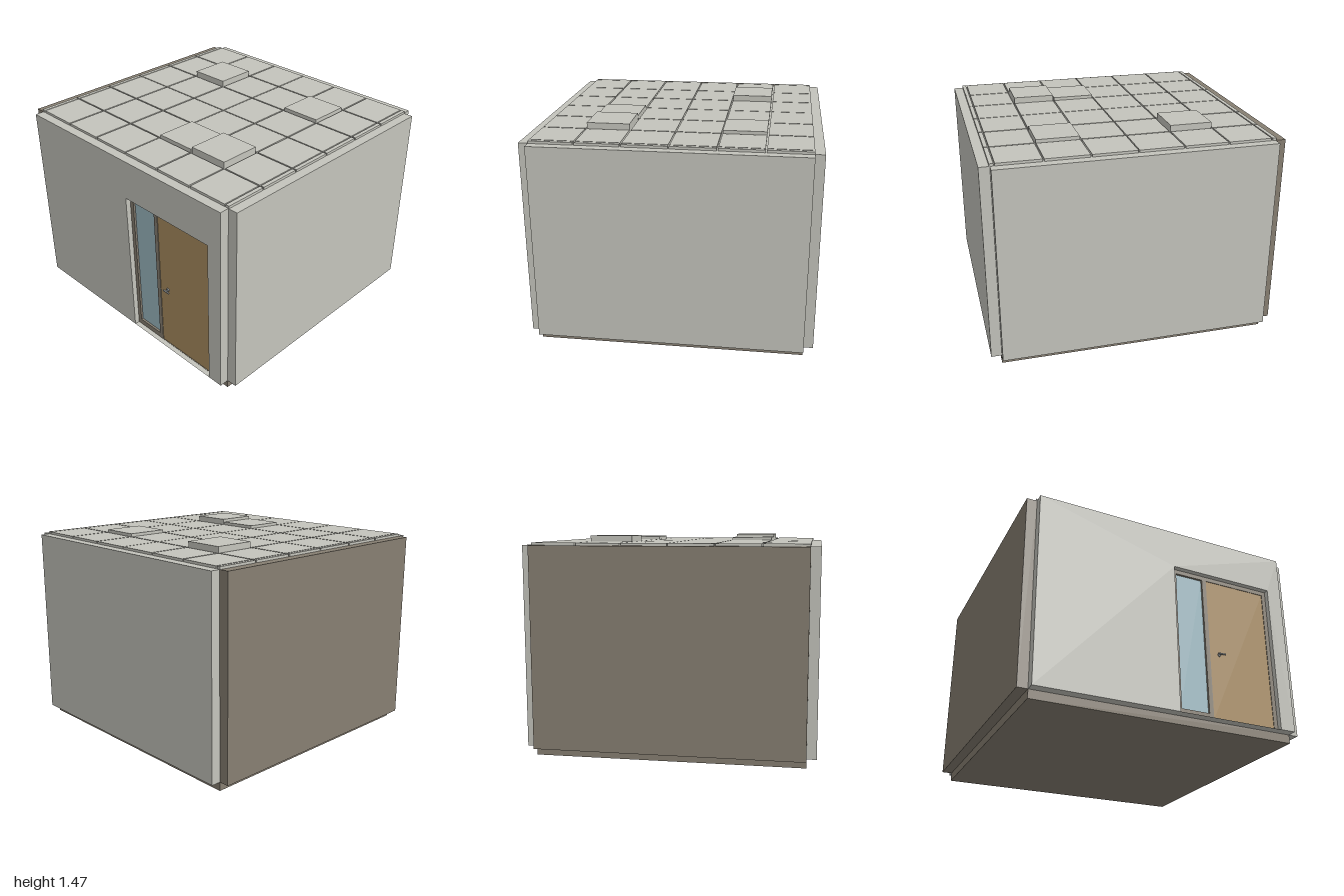
import * as THREE from 'three';

const mat = (name, color) => {
  const m = new THREE.MeshStandardMaterial({ color });
  m.name = name;
  return m;
};

export function createModel() {
  const grey = mat('pale concrete', 0xc4c4bc);
  const brown = mat('brown grey', 0x877f72);
  const wood = mat('door wood', 0xa98d60);
  const blue = mat('window glass', 0x9cb9c2);
  const metal = mat('handle metal', 0xa4a8aa);

  const model = new THREE.Group();
  model.name = 'room';

  // Box given by its lower and upper limits on each axis
  const box = (name, material, x0, x1, y0, y1, z0, z1, parent = model) => {
    const mesh = new THREE.Mesh(new THREE.BoxGeometry(x1 - x0, y1 - y0, z1 - z0), material);
    mesh.position.set((x0 + x1) / 2, (y0 + y1) / 2, (z0 + z1) / 2);
    mesh.name = name;
    parent.add(mesh);
    return mesh;
  };
  // Rectangle path, for outlines and holes
  const rect = (Type, x0, x1, y0, y1) =>
    new Type([[x0, y0], [x1, y0], [x1, y1], [x0, y1]].map(p => new THREE.Vector2(...p)));
  // Plate facing the front with rectangular holes
  const plate = (name, material, outline, holes, z0, z1) => {
    const shape = rect(THREE.Shape, ...outline);
    shape.holes = holes.map(h => rect(THREE.Path, ...h));
    const geo = new THREE.ExtrudeGeometry(shape, { depth: z1 - z0, bevelEnabled: false });
    const mesh = new THREE.Mesh(geo, material);
    mesh.position.z = z0;
    mesh.name = name;
    model.add(mesh);
  };

  // Floor slab and ceiling
  box('floorSlab', brown, -0.93, 0.93, 0, 0.06, -0.9, 0.9);
  box('ceilingSlab', grey, -0.93, 0.93, 1.35, 1.41, -0.9, 0.9);

  // Wall panels, leaving the four corners notched
  const door = [0.055, 0.82, 0.06, 1.13];
  plate('frontWall', grey, [-0.93, 0.93, 0.06, 1.41], [door], 0.9, 0.965);
  box('backWall', grey, -0.93, 0.93, 0.06, 1.41, -0.965, -0.9);
  box('leftWall', grey, 0.93, 1, 0.06, 1.41, -0.9, 0.9);
  box('rightWall', brown, -1, -0.93, 0.06, 1.41, -0.9, 0.9);

  // Recessed entrance: frame, side window and door
  plate('entranceFrame', brown, door,
    [[0.085, 0.29, 0.1, 1.1], [0.322, 0.79, 0.062, 1.1]], 0.87, 0.93);
  box('sideWindow', blue, 0.085, 0.29, 0.1, 1.1, 0.905, 0.915);
  box('doorLeaf', wood, 0.322, 0.79, 0.062, 1.1, 0.885, 0.926);

  // Door handle
  const handle = new THREE.Group();
  handle.name = 'doorHandle';
  model.add(handle);
  const rose = new THREE.Mesh(new THREE.CylinderGeometry(0.012, 0.012, 0.008, 20), metal);
  rose.rotation.x = Math.PI / 2;
  rose.position.set(0.395, 0.54, 0.93);
  rose.name = 'handleRose';
  handle.add(rose);
  box('handleNeck', metal, 0.391, 0.399, 0.536, 0.544, 0.93, 0.95, handle);
  box('handleLever', metal, 0.375, 0.43, 0.536, 0.544, 0.948, 0.956, handle);

  // Roof tiles; a few of them are raised, keyed by column and row
  const spans = [[-0.9, -0.61], [-0.6, -0.31], [-0.3, -0.004], [0.004, 0.3], [0.31, 0.6], [0.61, 0.9]];
  const raised = { '1,1': 1.467, '4,4': 1.467, '4,1': 1.447, '3,4': 1.447 };
  const tiles = new THREE.Group();
  tiles.name = 'roofTiles';
  model.add(tiles);
  spans.forEach(([z0, z1], row) => {
    spans.forEach(([x0, x1], col) => {
      box('roofTile', grey, x0, x1, 1.41, raised[`${col},${row}`] ?? 1.427, z0, z1, tiles);
    });
    // Narrow strips along both sides
    box('edgeTile', grey, -0.935, -0.908, 1.41, 1.427, z0, z1, tiles);
    box('edgeTile', grey, 0.908, 0.935, 1.41, 1.427, z0, z1, tiles);
  });

  return model;
}
